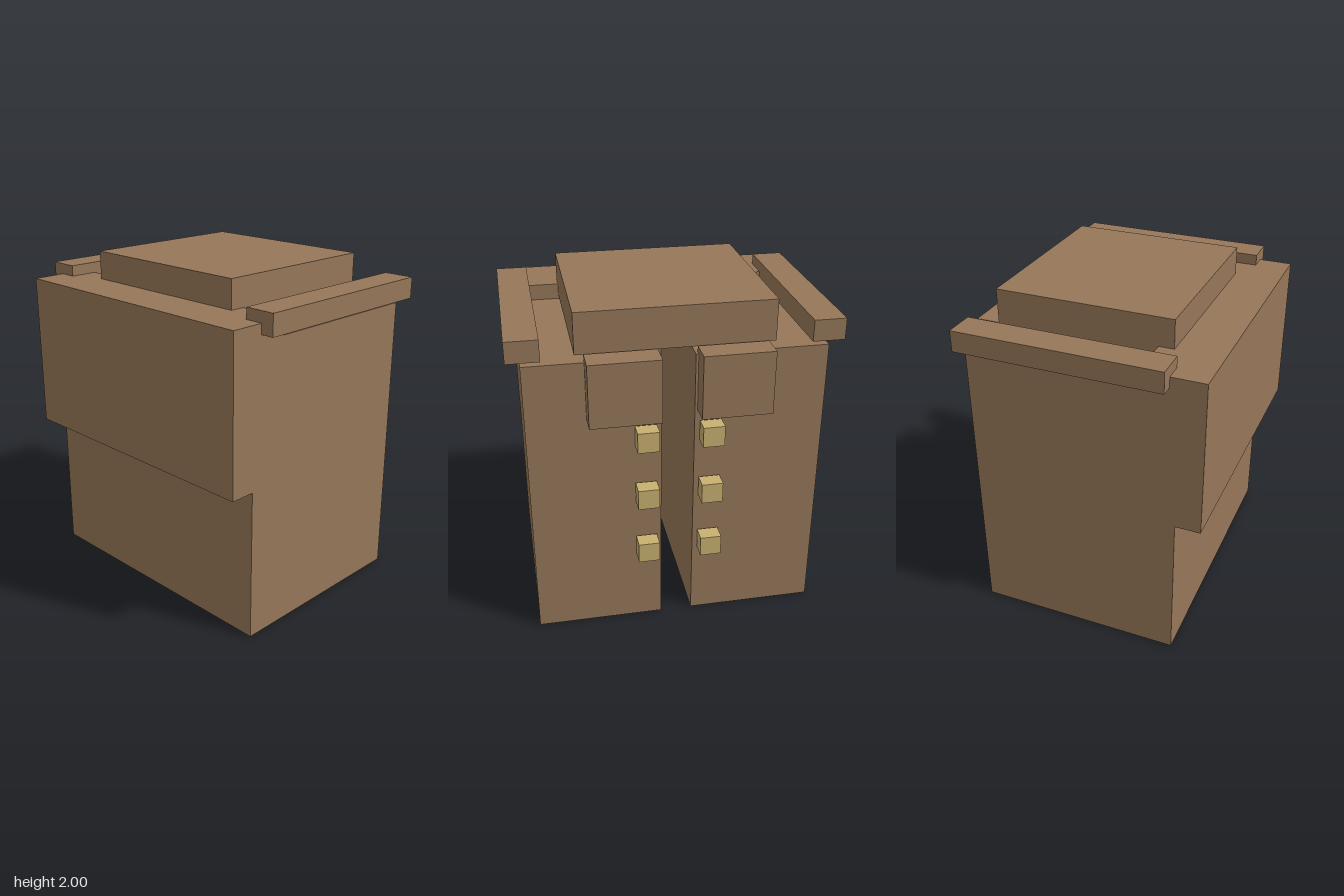
import * as THREE from 'three';

export function createModel() {
  const group = new THREE.Group();
  const brown = new THREE.MeshStandardMaterial({ color: 0x967759 });
  brown.name = 'brown cloth';
  const brass = new THREE.MeshStandardMaterial({ color: 0xc8b070 });
  brass.name = 'brass';

  // Box from its minimum and maximum corners
  function box(name, material, [x0, y0, z0], [x1, y1, z1]) {
    const mesh = new THREE.Mesh(new THREE.BoxGeometry(x1 - x0, y1 - y0, z1 - z0), material);
    mesh.position.set((x0 + x1) / 2, (y0 + y1) / 2, (z0 + z1) / 2);
    mesh.name = name;
    group.add(mesh);
  }

  // Main body: U-shaped plan with an open slit at the back, extruded upwards
  const plan = new THREE.Shape([
    [-0.85, -0.6], [0.85, -0.6], [0.85, 0.63], [0.095, 0.63],
    [0.095, -0.46], [-0.095, -0.46], [-0.095, 0.63], [-0.85, 0.63],
  ].map(([x, y]) => new THREE.Vector2(x, y)));
  const bodyGeometry = new THREE.ExtrudeGeometry(plan, { depth: 1.735, bevelEnabled: false });
  bodyGeometry.rotateX(-Math.PI / 2);
  const body = new THREE.Mesh(bodyGeometry, brown);
  body.name = 'body';
  group.add(body);

  // Overhanging upper panel and raised collar
  box('upperPanel', brown, [-0.85, 0.905, 0.38], [0.85, 1.83, 0.75]);
  box('collar', brown, [-0.56, 1.76, -0.58], [0.56, 2, 0.47]);

  for (const [side, s] of [['left', 1], ['right', -1]]) {
    const pair = (name, material, [x0, y0, z0], [x1, y1, z1]) => box(
      side + name, material,
      [Math.min(s * x0, s * x1), y0, z0], [Math.max(s * x0, s * x1), y1, z1]);

    pair('ShoulderStrip', brown, [0.743, 1.77, -0.66], [0.927, 1.895, 0.55]);
    pair('Lapel', brown, [0.11, 1.395, -0.75], [0.512, 1.77, -0.6]);

    // Column of three square buttons beside the slit
    [0.47, 0.84, 1.21].forEach((y, i) =>
      pair('Button' + (i + 1), brass, [0.123, y, -0.735], [0.247, y + 0.123, -0.64]));
  }
  return group;
}
